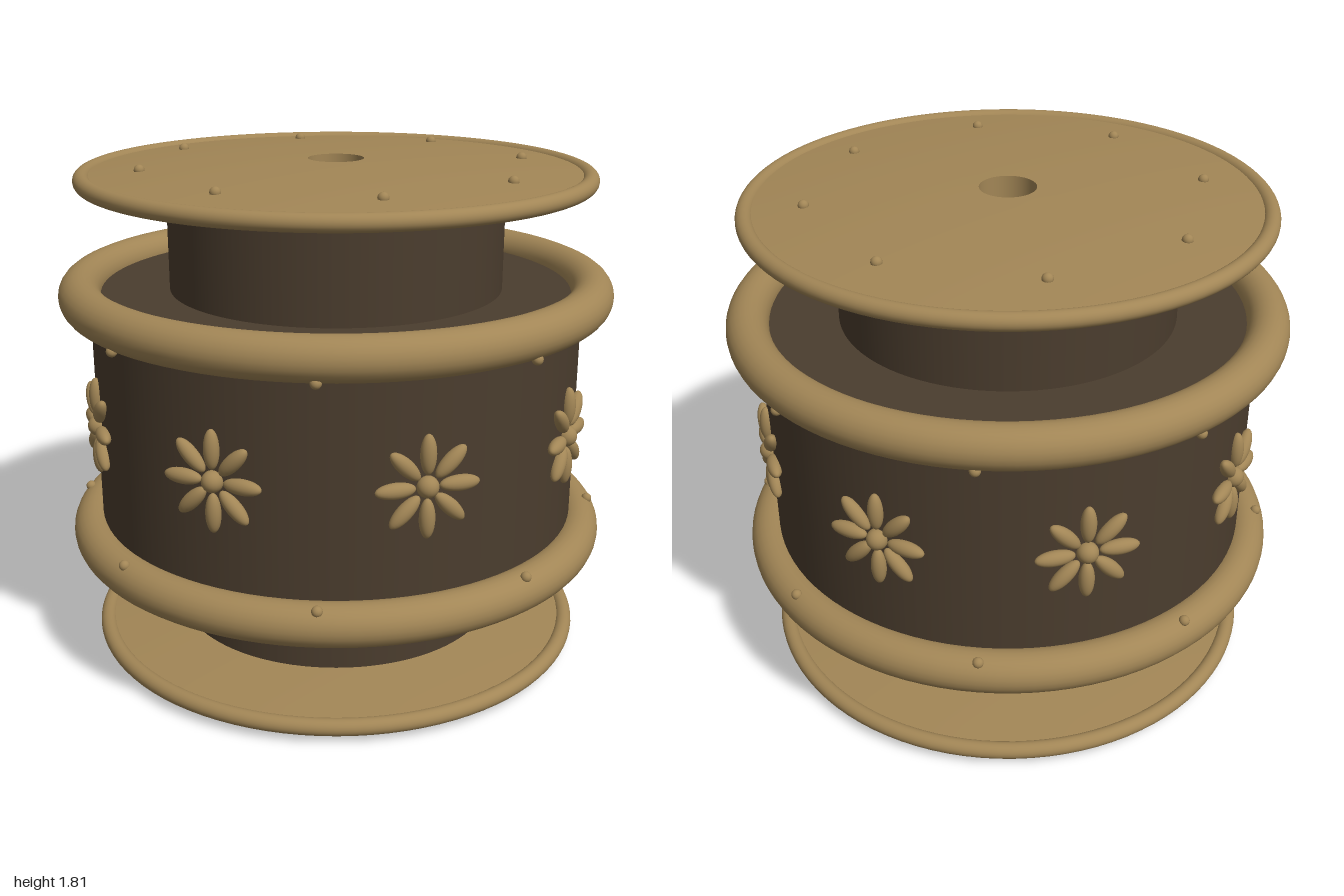
import * as THREE from 'three';
import { mergeGeometries } from 'three/addons/utils/BufferGeometryUtils.js';

const MID = 0.913; // height of the horizontal symmetry plane
const BORE = 0.1;

export function createModel() {
  const model = new THREE.Group();
  const gold = new THREE.MeshStandardMaterial({ color: 0xa28656 });
  gold.name = 'antique gold';
  const brown = new THREE.MeshStandardMaterial({ color: 0x4b3d2e });
  brown.name = 'dark brown';

  const add = (parent, name, geometry, material, x = 0, y = 0, z = 0) => {
    const mesh = new THREE.Mesh(geometry, material);
    mesh.name = name;
    mesh.position.set(x, y, z);
    parent.add(mesh);
    return mesh;
  };

  // Each run of [radius, height] points is smooth; runs meet at sharp edges
  const turned = (...runs) => mergeGeometries(runs.map(run =>
    new THREE.LatheGeometry(run.map(p => new THREE.Vector2(p[0], p[1])), 96)));

  // Straight hollow cylinder, centred on its own middle
  const pipe = (r, h) => turned(
    [[BORE, -h], [r, -h]], [[r, -h], [r, h]], [[r, h], [BORE, h]], [[BORE, h], [BORE, -h]]);

  const hoop = (radius, tube) => new THREE.TorusGeometry(radius, tube, 24, 96).rotateX(Math.PI / 2);

  // Core and wide drum
  add(model, 'core', pipe(0.605, 0.8), brown, 0, MID);
  add(model, 'drum', pipe(0.89, 0.45), brown, 0, MID);

  // Gently domed end plate
  const dome = [];
  for (let i = 0; i <= 10; i++) {
    const r = BORE + (0.895 - BORE) * i / 10;
    dome.push([r, 0.055 - 0.038 * (r / 0.87) ** 2]);
  }
  const under = dome.map(([r, y]) => [r, -y]);
  const top = [...dome].reverse();
  const plate = turned(under, [under[10], top[0]], top, [dome[0], under[0]]);

  const plateRim = hoop(0.895, 0.03);
  const bandRing = hoop(0.925, 0.075);
  const rivet = new THREE.SphereGeometry(0.019, 16, 12);

  // Eight rivets spaced around a circle
  const rivetRing = (parent, radius, y, start) => {
    for (let i = 0; i < 8; i++) {
      const a = start + i * Math.PI / 4;
      add(parent, 'rivet', rivet, gold, Math.sin(a) * radius, y, Math.cos(a) * radius);
    }
  };

  for (const side of [1, -1]) {
    const end = new THREE.Group();
    end.name = side > 0 ? 'topFlange' : 'bottomFlange';
    const y = MID + side * 0.852;
    add(end, 'endPlate', plate, gold, 0, y);
    add(end, 'plateRim', plateRim, gold, 0, y);
    rivetRing(end, 0.695, MID + side * 0.886, 0.666);
    model.add(end);

    const band = new THREE.Group();
    band.name = side > 0 ? 'upperBand' : 'lowerBand';
    add(band, 'bandRing', bandRing, gold, 0, MID + side * 0.448);
    rivetRing(band, 0.963, MID + side * 0.382, Math.PI / 8);
    model.add(band);
  }

  // Eight-petalled flowers around the drum
  const petal = new THREE.SphereGeometry(1, 20, 14).scale(0.027, 0.069, 0.026);
  const heart = new THREE.SphereGeometry(0.037, 20, 14);
  for (let i = 0; i < 8; i++) {
    const flower = new THREE.Group();
    flower.name = 'flower';
    const a = i * Math.PI / 4;
    flower.position.set(Math.sin(a) * 0.897, MID, Math.cos(a) * 0.897);
    flower.rotation.y = a;
    add(flower, 'flowerCentre', heart, gold);
    for (let k = 0; k < 8; k++) {
      const b = k * Math.PI / 4;
      add(flower, 'petal', petal, gold, -Math.sin(b) * 0.11, Math.cos(b) * 0.11, 0).rotation.z = b;
    }
    model.add(flower);
  }

  return model;
}
